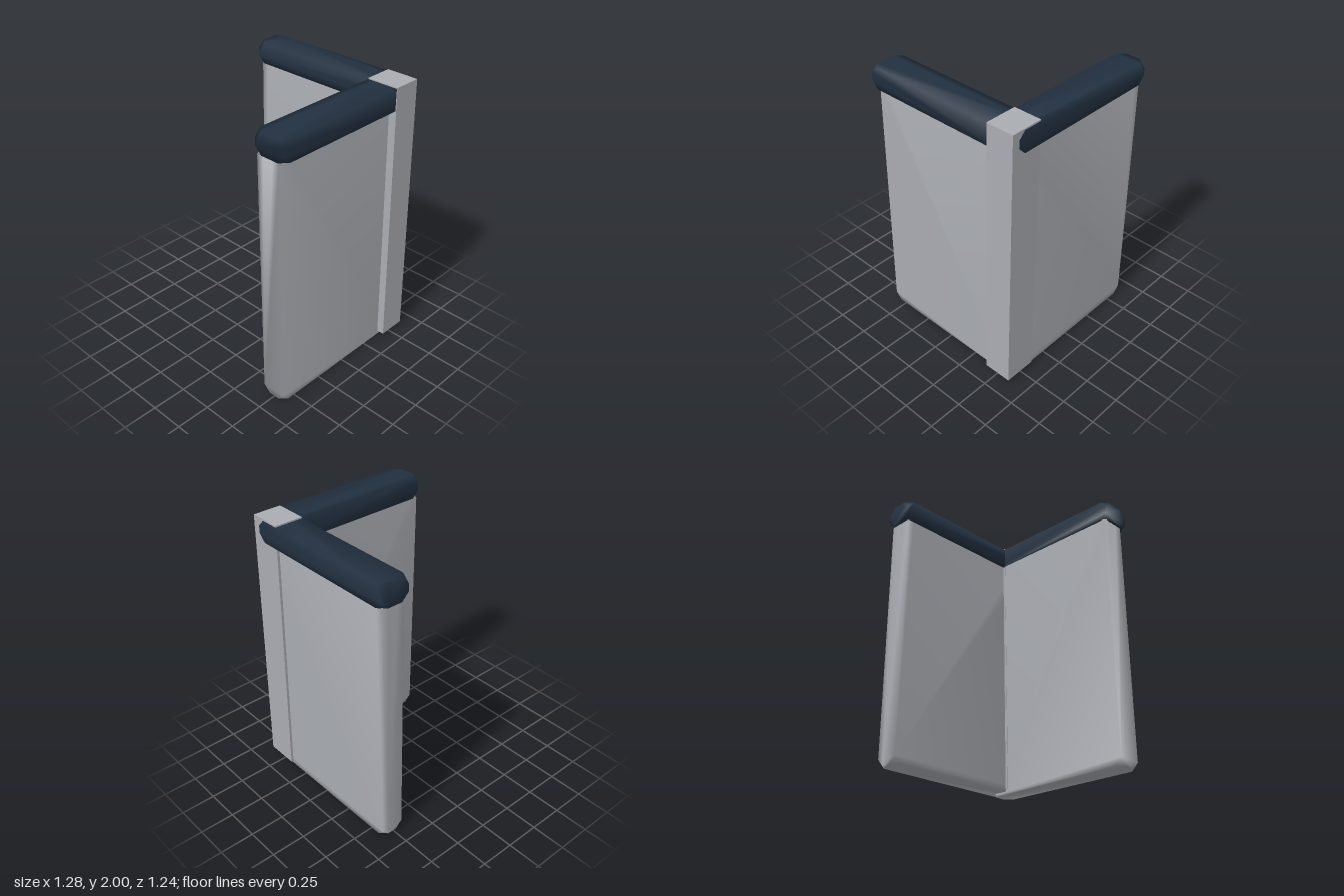
import * as THREE from 'three';

const panelGrey = new THREE.MeshStandardMaterial({ color: 0xa9acb2 });
panelGrey.name = 'panel grey';
const railNavy = new THREE.MeshStandardMaterial({ color: 0x223040 });
railNavy.name = 'rail navy';

// Box between two corners with its eight corners cut off, smooth shaded
function cutBox(min, max, cut) {
  const positions = [], index = [];
  const id = (s, axis) => ((s[0] > 0) * 4 + (s[1] > 0) * 2 + (s[2] > 0)) * 3 + axis;
  for (const sx of [-1, 1]) for (const sy of [-1, 1]) for (const sz of [-1, 1]) {
    const s = [sx, sy, sz];
    for (let axis = 0; axis < 3; axis++) {
      const p = s.map((v, i) => (v > 0 ? max[i] : min[i]));
      p[axis] -= s[axis] * cut;
      positions.push(...p);
    }
    const [a, b, c] = [0, 1, 2].map((k) => id(s, k));
    index.push(...(sx * sy * sz > 0 ? [a, b, c] : [a, c, b]));
  }
  // Six eight-sided faces, each a fan
  for (let n = 0; n < 3; n++) for (const side of [-1, 1]) {
    const u = (n + 1) % 3, v = (n + 2) % 3;
    const ring = [];
    for (const [su, sv] of [[-1, -1], [1, -1], [1, 1], [-1, 1]]) {
      const s = [];
      s[n] = side; s[u] = su; s[v] = sv;
      ring.push(...(su * sv > 0 ? [id(s, v), id(s, u)] : [id(s, u), id(s, v)]));
    }
    for (let i = 1; i < 7; i++) {
      index.push(...(side > 0 ? [ring[0], ring[i], ring[i + 1]] : [ring[0], ring[i + 1], ring[i]]));
    }
  }
  const geometry = new THREE.BufferGeometry();
  geometry.setAttribute('position', new THREE.Float32BufferAttribute(positions, 3));
  geometry.setIndex(index);
  return geometry;
}

// Slant a geometry towards -x as it rises
function lean(geometry, slope) {
  const p = geometry.attributes.position;
  for (let i = 0; i < p.count; i++) p.setX(i, p.getX(i) - slope * p.getY(i));
  return geometry;
}

export function createModel() {
  const group = new THREE.Group();
  const add = (name, geometry, material) => {
    geometry.computeVertexNormals();
    const mesh = new THREE.Mesh(geometry, material);
    mesh.name = name;
    group.add(mesh);
  };

  // Two wall panels meeting at the back left corner
  add('backPanel', cutBox([-0.625, 0.01, -0.6], [0.56, 1.88, -0.43], 0.05), panelGrey);
  add('sidePanel', lean(cutBox([0.405, 0, -0.58], [0.585, 1.88, 0.605], 0.05), 0.019), panelGrey);

  // Dark rails along the tops
  add('backRail', cutBox([-0.645, 1.835, -0.62], [0.55, 1.99, -0.412], 0.05), railNavy);
  add('sideRail', cutBox([0.367, 1.838, -0.58], [0.6, 1.993, 0.618], 0.05), railNavy);

  // Slightly leaning corner post
  const post = new THREE.BoxGeometry(0.238, 1.972, 0.207);
  post.translate(0.52, 1.014, -0.5145);
  add('cornerPost', lean(post, 0.0175), panelGrey);

  return group;
}
